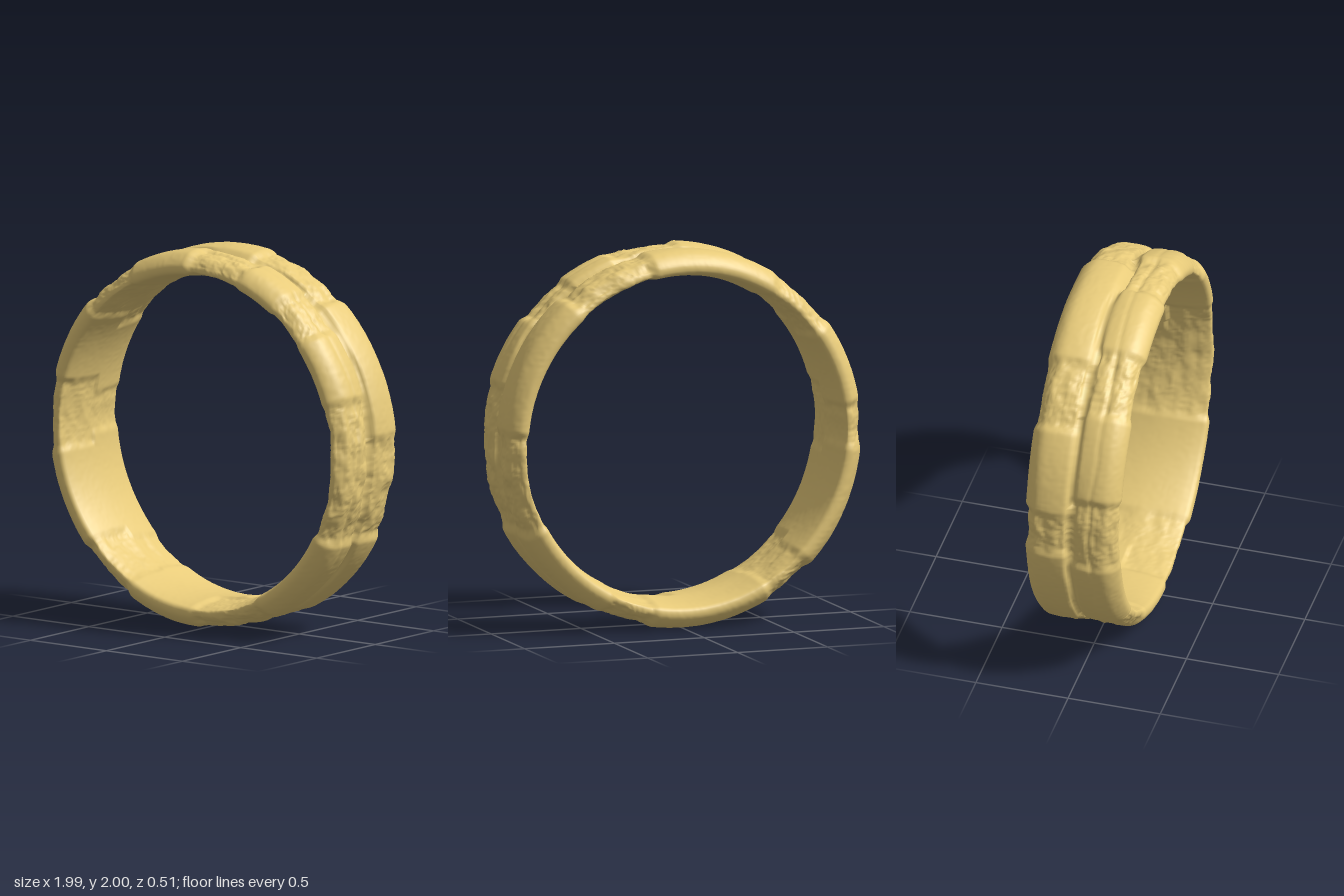
import * as THREE from 'three';

// Seeded lattice noise, smooth in 3D, range 0..1
function hash(x, y, z) {
  let h = Math.imul(x, 374761393) ^ Math.imul(y, 668265263) ^ Math.imul(z, 1274126177);
  h = Math.imul(h ^ (h >>> 13), 1103515245);
  return ((h ^ (h >>> 16)) >>> 0) / 4294967296;
}
function noise(x, y, z) {
  const c = [x, y, z].map(Math.floor);
  const [u, v, w] = [x - c[0], y - c[1], z - c[2]].map(t => t * t * (3 - 2 * t));
  let sum = 0;
  for (let k = 0; k < 8; k++) {
    const a = k & 1, b = (k >> 1) & 1, d = k >> 2;
    sum += hash(c[0] + a, c[1] + b, c[2] + d) * (a ? u : 1 - u) * (b ? v : 1 - v) * (d ? w : 1 - w);
  }
  return sum;
}

// Smooth plates around the front and back half of the band, in degrees from +x
const frontPlates = [[17, 41], [55, 73], [92, 118], [137, 166], [188, 222], [241, 270], [296, 333]];
const backPlates = [[4, 51], [78, 123], [143, 172], [184, 226], [240, 282], [296, 333]];

// 1 inside a plate, 0 in the worn stretches between plates
function plateMask(deg, plates) {
  let m = 0;
  for (const [from, to] of plates) {
    m = Math.max(m, THREE.MathUtils.smoothstep(Math.min(deg - from, to - deg), -1, 2.5));
  }
  return m;
}

// Half of the band's cross-section as [z, radius], from the outer groove to the inner middle
const half = [[0, 0.982], [0.035, 0.994], [0.12, 1.002], [0.19, 0.993], [0.238, 0.958],
  [0.257, 0.925], [0.25, 0.888], [0.21, 0.872], [0.11, 0.857], [0, 0.85]];

function bandGeometry(around, across) {
  const mirrored = half.slice(1, -1).reverse().map(([z, r]) => [-z, r]);
  const section = new THREE.CatmullRomCurve3(
    [...half, ...mirrored].map(([z, r]) => new THREE.Vector3(z, r, 0)), true);
  const samples = [];
  for (let j = 0; j < across; j++) {
    samples.push({ p: section.getPointAt(j / across), t: section.getTangentAt(j / across) });
  }

  const pos = [], index = [];
  for (let i = 0; i < around; i++) {
    const a = i / around * Math.PI * 2, deg = i / around * 360;
    const c = Math.cos(a), s = Math.sin(a);
    const front = plateMask(deg, frontPlates), back = plateMask(deg, backPlates);
    samples.forEach(({ p, t }, j) => {
      const z = p.x, r = p.y, x = r * c, y = r * s;
      const wander = 0.03 * (noise(x * 5, y * 5, 3) - 0.5);
      const plate = z > wander ? front : back;
      const outer = THREE.MathUtils.smoothstep(r, 0.88, 0.96);
      // Chipped steps and fine pits in the worn stretches, gentle swells on the plates
      const rough = noise(x * 13, y * 13, z * 20 + 7);
      const chips = Math.floor(noise(x * 9 + 4, y * 9, z * 24) * 5) / 5;
      const pits = Math.abs(noise(x * 32, y * 32, z * 36) - 0.5);
      const swell = noise(x * 4, y * 4, z * 8);
      const worn = 0.007 + 0.016 * rough + 0.013 * chips + 0.012 * pits;
      let depth = (1 - plate) * worn + plate * (0.006 * swell + 0.003 * pits);
      // Wandering groove that parts the two rows of plates
      depth += outer * 0.016 * Math.exp(-(((z - wander) / 0.014) ** 2));
      // Ragged seam along the front row
      const seam = 0.115 + 0.05 * (swell - 0.5);
      depth += outer * 0.01 * (1 - 0.6 * plate) * Math.exp(-(((z - seam) / 0.012) ** 2));
      depth *= 0.55 + 0.45 * outer;
      const radius = r - t.x * depth;
      pos.push(radius * c, radius * s + 1, z + t.y * depth);

      const i2 = (i + 1) % around, j2 = (j + 1) % across;
      const v00 = i * across + j, v10 = i2 * across + j;
      const v01 = i * across + j2, v11 = i2 * across + j2;
      index.push(v00, v10, v01, v10, v11, v01);
    });
  }
  const geometry = new THREE.BufferGeometry();
  geometry.setAttribute('position', new THREE.Float32BufferAttribute(pos, 3));
  geometry.setIndex(index);
  geometry.computeVertexNormals();
  return geometry;
}

export function createModel() {
  const group = new THREE.Group();
  group.name = 'ring';
  // Weathered band standing upright
  const band = new THREE.Mesh(bandGeometry(640, 108),
    new THREE.MeshStandardMaterial({ color: 0xe8cb7a }));
  band.name = 'band';
  group.add(band);
  return group;
}
